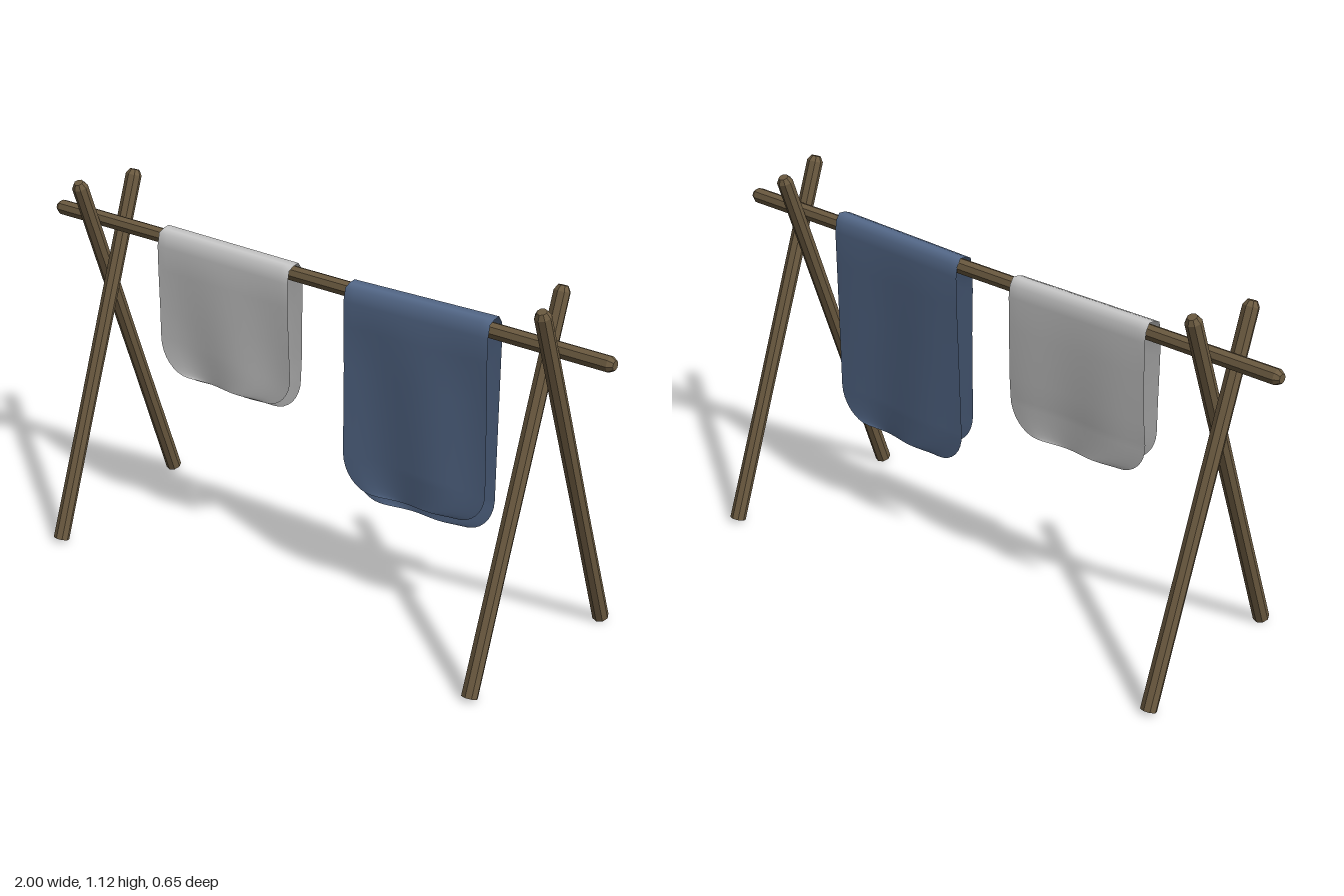
import * as THREE from 'three';

const wood = new THREE.MeshStandardMaterial({ color: 0x6b5a40, flatShading: true });
const blue = new THREE.MeshStandardMaterial({ color: 0x566b8c, side: THREE.DoubleSide });
const grey = new THREE.MeshStandardMaterial({ color: 0xcccccc, side: THREE.DoubleSide });

// Eight-sided pole between two points; ends may be bevelled
function pole(name, a, b, r, bevelStart) {
  const dir = b.clone().sub(a);
  const len = dir.length();
  const c = 0.016;
  const profile = [[0, 0]];
  if (bevelStart) profile.push([r * 0.6, 0], [r, c]);
  else profile.push([r, 0]);
  profile.push([r * 0.96, len * 0.35], [r, len * 0.7], [r, len - c], [r * 0.6, len], [0, len]);
  const geo = new THREE.LatheGeometry(profile.map(([x, y]) => new THREE.Vector2(x, y)), 8);
  const mesh = new THREE.Mesh(geo, wood);
  mesh.name = name;
  mesh.position.copy(a);
  mesh.quaternion.setFromUnitVectors(new THREE.Vector3(0, 1, 0), dir.normalize());
  return mesh;
}

// Cloth folded over the bar: a sheet following a [z, y] profile, with rounded lower corners
function cloth(name, x0, x1, frontEnd, backEnd, tilt, material) {
  const rx = 0.1, ry = 0.11, steps = 8, cols = 16;
  const rows = []; // [z, y, inset]
  const corner = (i) => {
    const a = (i / steps) * Math.PI / 2;
    return [ry * (1 - Math.cos(a)), rx * (1 - Math.sin(a))];
  };
  for (let i = 0; i <= steps; i++) {
    const [d, inset] = corner(i);
    rows.push([0.031 + d * 0.03, frontEnd + d, inset]);
  }
  rows.push([0.037, 0.75, 0], [0.041, 0.88, 0], [0.041, 0.955, 0], [0.032, 0.995, 0], [0.012, 1.003, 0],
    [-0.012, 1.006, 0], [-0.026, 0.985, 0], [-0.031, 0.95, 0], [-0.029, 0.85, 0], [-0.024, 0.7, 0]);
  for (let i = steps; i >= 0; i--) {
    const [d, inset] = corner(i);
    rows.push([-0.012 - d * 0.05, backEnd + d, inset]);
  }
  const geo = new THREE.PlaneGeometry(1, 1, cols, rows.length - 1);
  const pos = geo.attributes.position;
  for (let j = 0; j < rows.length; j++) {
    const [z, y, inset] = rows[j];
    const hang = THREE.MathUtils.clamp((0.95 - y) * 3, 0, 1);
    for (let i = 0; i <= cols; i++) {
      const u = i / cols;
      const x = THREE.MathUtils.lerp(x0 + inset, x1 - inset, u);
      const wave = 0.005 * hang * Math.sin(u * 9 + y * 4);
      pos.setXYZ(j * (cols + 1) + i, x, y + tilt * (u - 0.3), z + wave);
    }
  }
  geo.computeVertexNormals();
  const mesh = new THREE.Mesh(geo, material);
  mesh.name = name;
  return mesh;
}

export function createModel() {
  const group = new THREE.Group();
  group.name = 'dryingRack';

  // Crossed legs at each end
  for (const [side, label] of [[1, 'left'], [-1, 'right']]) {
    for (const [x, s, part] of [[0.77, 1, 'FrontLeg'], [0.825, -1, 'BackLeg']]) {
      group.add(pole(label + part, new THREE.Vector3(side * x, 0.008, s * 0.304),
        new THREE.Vector3(side * x, 1.116, -s * 0.097), 0.0245, false));
    }
  }

  // Horizontal bar
  group.add(pole('crossBar', new THREE.Vector3(-1, 0.973, 0), new THREE.Vector3(1, 0.973, 0), 0.024, true));

  // Hanging cloths
  group.add(cloth('blueCloth', 0.13, 0.622, 0.365, 0.322, 0.012, blue));
  group.add(cloth('greyCloth', -0.565, -0.072, 0.545, 0.52, -0.004, grey));
  return group;
}
